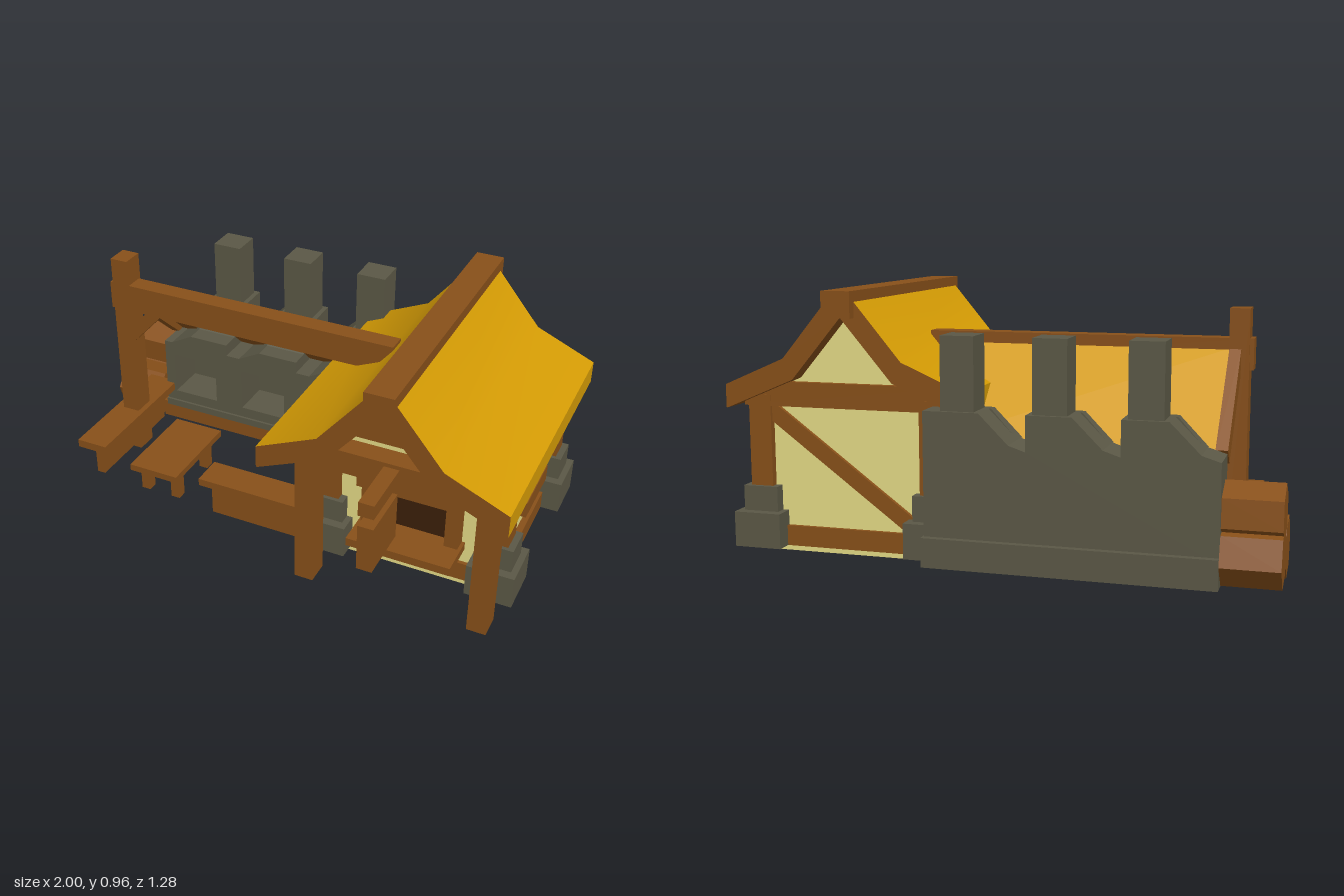
import * as THREE from 'three';
import { toCreasedNormals } from 'three/addons/utils/BufferGeometryUtils.js';
import { ConvexGeometry } from 'three/addons/geometries/ConvexGeometry.js';

const mat = (name, color) => {
  const m = new THREE.MeshStandardMaterial({ color });
  m.name = name;
  return m;
};

export function createModel() {
  const group = new THREE.Group();
  const wood = mat('wood', 0x885019);
  const darkWood = mat('darkOpening', 0x3b200a);
  const stone = mat('stone', 0x5b5846);
  const thatch = mat('yellowRoof', 0xd49b04);
  const plaster = mat('creamPlaster', 0xe5db86);

  const add = (name, geometry, material) => {
    const mesh = new THREE.Mesh(geometry, material);
    mesh.name = name;
    group.add(mesh);
    return mesh;
  };
  // Box from its lower and upper limits on each axis
  const box = (name, m, x0, x1, y0, y1, z0, z1) => {
    const mesh = add(name, new THREE.BoxGeometry(x1 - x0, y1 - y0, z1 - z0), m);
    mesh.position.set((x0 + x1) / 2, (y0 + y1) / 2, (z0 + z1) / 2);
  };
  // Straight timber or slab between two points
  const beam = (name, m, a, b, w, h) => {
    const p = new THREE.Vector3(...a), q = new THREE.Vector3(...b);
    const mesh = add(name, new THREE.BoxGeometry(w, h, p.distanceTo(q)), m);
    mesh.position.copy(p).add(q).multiplyScalar(0.5);
    mesh.lookAt(q);
  };
  const shapeOf = (pts) => new THREE.Shape(pts.map(([x, y]) => new THREE.Vector2(x, y)));
  // Outline in x and y, extruded from z0 to z1
  const slab = (name, m, shape, z0, z1) => {
    const g = new THREE.ExtrudeGeometry(shape, { depth: z1 - z0, bevelEnabled: false });
    g.translate(0, 0, z0);
    return add(name, g, m);
  };

  // ---- Cottage walls and floor
  box('cottageFloor', plaster, 0.22, 0.90, 0, 0.02, -0.49, 0.18);
  slab('cottageWalls', plaster, shapeOf([
    [0.225, 0.02], [0.885, 0.02], [0.885, 0.56], [0.735, 0.65], [0.545, 0.875], [0.355, 0.65], [0.225, 0.56],
  ]), -0.485, 0.17);

  // Corner posts on stepped stone footings
  for (const x of [0.23, 0.89]) {
    for (const z of [0.157, -0.467]) {
      box('cornerPost', wood, x - 0.043, x + 0.043, 0.02, 0.58, z - 0.045, z + 0.045);
      box('footing', stone, x - 0.09, x + 0.09, 0.02, 0.15, z - 0.095, z + 0.095);
      box('footingTop', stone, x - 0.067, x + 0.067, 0.15, 0.243, z - 0.06, z + 0.06);
    }
    const s = x < 0.5 ? -1 : 1;
    box('sideSill', wood, x - 0.02, x + 0.02, 0.02, 0.095, -0.48, 0.17);
    box('sidePlate', wood, x - 0.025, x + 0.025, 0.53, 0.58, -0.5, 0.19);
    // Porch posts at the front
    const px = 0.57 + s * 0.335;
    box('porchPost', wood, px - 0.036, px + 0.036, 0.018, 0.6, 0.333, 0.425);
  }
  for (const z of [0.165, -0.48]) {
    box('endSill', wood, 0.22, 0.9, 0.02, 0.095, z - 0.02, z + 0.02);
    box('tieBeam', wood, 0.14, 0.95, 0.54, 0.63, z - 0.03, z + 0.03);
  }
  box('porchBeam', wood, 0.14, 0.95, 0.54, 0.63, 0.34, 0.42);
  beam('backBrace', wood, [0.86, 0.53, -0.485], [0.28, 0.1, -0.485], 0.03, 0.06);

  // ---- Cottage roof: swept thatch with timber ends and a boarded underside
  const mirrored = (right) => shapeOf([
    ...right, ...right.filter(([x]) => x > 0).reverse().map(([x, y]) => [-x, y]),
  ].map(([x, y]) => [x + 0.545, y]));
  const roof = slab('cottageRoof', [wood, thatch], mirrored([
    [0, 0.935], [0.05, 0.93], [0.225, 0.72], [0.455, 0.62], [0.455, 0.535], [0.445, 0.545], [0.19, 0.652], [0, 0.877],
  ]), -0.555, 0.51);
  roof.geometry = toCreasedNormals(roof.geometry, 0.6);
  for (const s of [-1, 1]) {
    slab('roofBoards', wood, shapeOf([
      [0, 0.879], [0.19, 0.654], [0.452, 0.545], [0.452, 0.534], [0.19, 0.645], [0, 0.87],
    ].map(([x, y]) => [0.545 + s * x, y])), -0.555, 0.51);
  }
  box('ridgeBeam', wood, 0.492, 0.6, 0.87, 0.965, -0.59, 0.535);

  // Hanging board on its bracket
  box('signBracket', wood, 0.53, 0.587, 0.56, 0.615, 0.4, 0.64);
  box('hangingBoard', wood, 0.53, 0.587, 0.338, 0.518, 0.425, 0.64);

  // ---- Front hatch
  box('hatchOpening', darkWood, 0.42, 0.705, 0.18, 0.36, 0.168, 0.176);
  box('hatchLintel', wood, 0.357, 0.765, 0.355, 0.415, 0.165, 0.235);
  for (const x of [0.4, 0.727]) box('hatchJamb', wood, x - 0.026, x + 0.026, 0.18, 0.36, 0.165, 0.222);
  box('hatchShelf', wood, 0.362, 0.765, 0.152, 0.185, 0.165, 0.335);

  // ---- Side window
  box('windowOpening', darkWood, 0.884, 0.891, 0.29, 0.4, -0.22, -0.065);
  box('windowLintel', wood, 0.87, 0.93, 0.395, 0.46, -0.275, -0.005);
  box('windowSill', wood, 0.87, 0.935, 0.23, 0.295, -0.28, -0.01);
  for (const z of [-0.045, -0.24]) box('windowJamb', wood, 0.87, 0.92, 0.29, 0.4, z - 0.026, z + 0.026);

  // ---- Forge: tall stepped back wall
  const centres = [-0.55, -0.225, 0.1];
  const backTop = [], frontTop = [];
  for (const x of [...centres].reverse()) {
    const last = x < -0.5;
    backTop.push([x > 0 ? 0.22 : x + 0.08, 0.565], [x - 0.08, 0.565], [x - 0.185, 0.46]);
    backTop.push([last ? -0.8 : x - 0.245, 0.44]);
    frontTop.push([x > 0 ? 0.2 : x + 0.08, 0.46], [x - 0.09, 0.46], [x - 0.185, 0.41]);
    frontTop.push([last ? -0.77 : x - 0.245, 0.41]);
  }
  slab('forgeBack', stone, shapeOf([[-0.8, 0.1], [0.22, 0.1], ...backTop]), -0.615, -0.46);
  box('forgePlinth', stone, -0.8, 0.225, 0.02, 0.125, -0.64, -0.44);

  // Lower front with three fire openings
  const front = shapeOf([[-0.77, 0.12], [0.2, 0.12], ...frontTop]);
  for (const x of centres) {
    const c = x - 0.075;
    front.holes.push(new THREE.Path([[-0.1, 0.17], [-0.1, 0.35], [0.1, 0.35], [0.1, 0.17]]
      .map(([dx, y]) => new THREE.Vector2(c + dx, y))));
  }
  slab('forgeFront', stone, front, -0.46, -0.3);
  box('forgeLedge', stone, -0.77, 0.2, 0.095, 0.125, -0.45, -0.29);
  box('forgeSill', wood, -0.8, 0.22, 0.02, 0.095, -0.36, -0.31);

  // Sloping shoulders and chimneys
  for (const x of centres) {
    const l = x - 0.09, r = x + 0.08, far = x - 0.185;
    const points = [
      [l, 0.564, -0.46], [r, 0.564, -0.46], [l, 0.564, -0.5], [r, 0.564, -0.5],
      [far, 0.458, -0.44], [far, 0.458, -0.5], [l, 0.455, -0.37], [r, 0.455, -0.37], [r, 0.455, -0.5],
    ];
    add('chimneyShoulder', new ConvexGeometry(points.map((p) => new THREE.Vector3(...p))), stone);
    box('chimney', stone, x - 0.06, x + 0.06, 0.5, 0.823, -0.6, -0.48);
  }

  // ---- Lean-to roof over the forge
  beam('leanToRoof', thatch, [-0.285, 0.757, -0.1], [-0.285, 0.43, -0.437], 1.0, 0.02);
  beam('leanToBoards', wood, [-0.285, 0.741, -0.105], [-0.285, 0.416, -0.44], 1.0, 0.016);
  beam('leanToRafter', wood, [-0.78, 0.735, -0.1], [-0.78, 0.425, -0.435], 0.042, 0.07);
  box('leanToBeam', wood, -0.845, 0.37, 0.68, 0.793, -0.12, -0.045);
  box('tallPost', wood, -0.83, -0.758, 0.015, 0.9, -0.13, -0.04);
  beam('postBrace', wood, [-0.78, 0.55, -0.083], [-0.63, 0.71, -0.083], 0.05, 0.05);

  // ---- Benches, table and counter
  box('sideBench', wood, -0.865, -0.735, 0.172, 0.205, -0.32, 0.25);
  box('sideBenchBoard', wood, -0.82, -0.785, 0.03, 0.172, -0.28, 0.2);
  box('tableTop', wood, -0.62, -0.408, 0.13, 0.157, -0.12, 0.25);
  for (const x of [-0.585, -0.447]) {
    for (const z of [-0.05, 0.18]) box('tableLeg', wood, x - 0.019, x + 0.019, 0.016, 0.13, z - 0.02, z + 0.02);
  }
  box('counterTop', wood, -0.293, 0.21, 0.17, 0.2, 0.14, 0.267);
  box('counterFront', wood, -0.26, 0.21, 0.022, 0.17, 0.185, 0.225);

  // ---- Stacked six-sided logs: y, z, radius, roll
  for (const [y, z, r, roll] of [[0.115, -0.367, 0.108, -0.19], [0.12, -0.54, 0.104, -0.19], [0.265, -0.513, 0.1, -0.45]]) {
    const log = add('log', new THREE.CylinderGeometry(r, r, 0.2, 6).toNonIndexed(), wood);
    log.geometry.computeVertexNormals();
    log.rotation.set(roll, 0, Math.PI / 2);
    log.position.set(-0.9, y, z);
  }
  return group;
}
